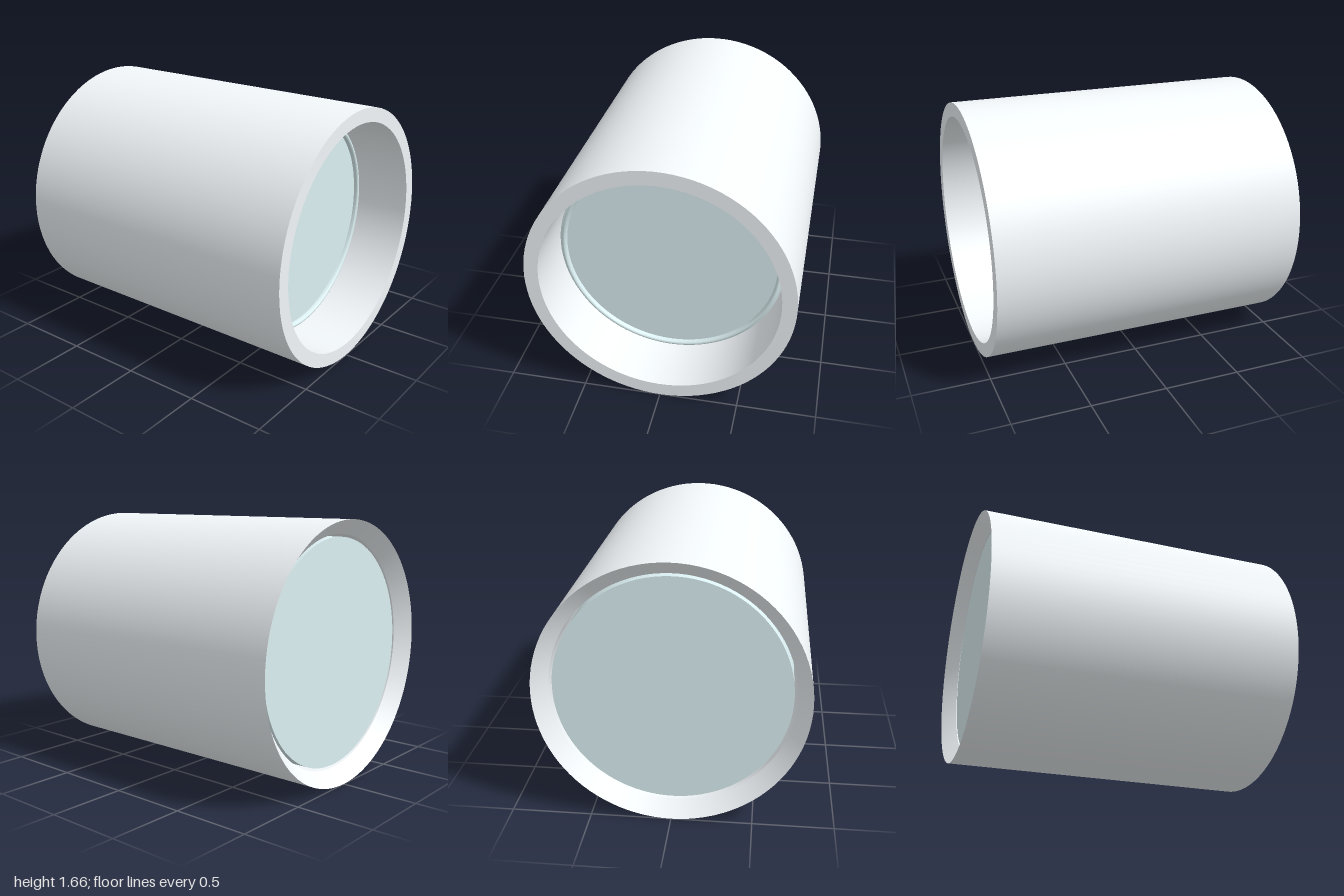
import * as THREE from 'three';
import { toCreasedNormals } from 'three/addons/utils/BufferGeometryUtils.js';

const R = 0.83; // outer radius, also the height of the axis

// Revolve [radius, z] points around the z axis, keeping hard edges sharp.
function revolve(name, points, color) {
  const profile = points.map(([r, z]) => new THREE.Vector2(r, z));
  const geometry = new THREE.LatheGeometry(profile, 96).rotateX(Math.PI / 2);
  const material = new THREE.MeshStandardMaterial({ color });
  const mesh = new THREE.Mesh(toCreasedNormals(geometry, 0.5), material);
  mesh.name = name;
  mesh.position.y = R;
  return mesh;
}

export function createModel() {
  const group = new THREE.Group();
  group.name = 'sleeveWithInsert';

  // Sleeve: flat front rim, straight bore, bevel out to a sharp back edge
  group.add(revolve('sleeve', [
    [R, -1], [R, 1], [0.74, 1], [0.74, -0.91], [R, -1],
  ], 0xf2f7fa));

  // Insert: closed drum, slightly narrower than the bore, with a rounded front lip
  const lip = [];
  for (let i = 0; i <= 10; i++) {
    const a = (i / 10) * Math.PI;
    lip.push([0.692 + 0.015 * Math.cos(a), 0.645 + 0.015 * Math.sin(a)]);
  }
  group.add(revolve('insert', [
    [0, -0.91], [0.722, -0.91], [0.722, 0.63], [0.707, 0.637],
    ...lip, [0.677, 0.63], [0, 0.63],
  ], 0xdcf0f3));

  return group;
}
